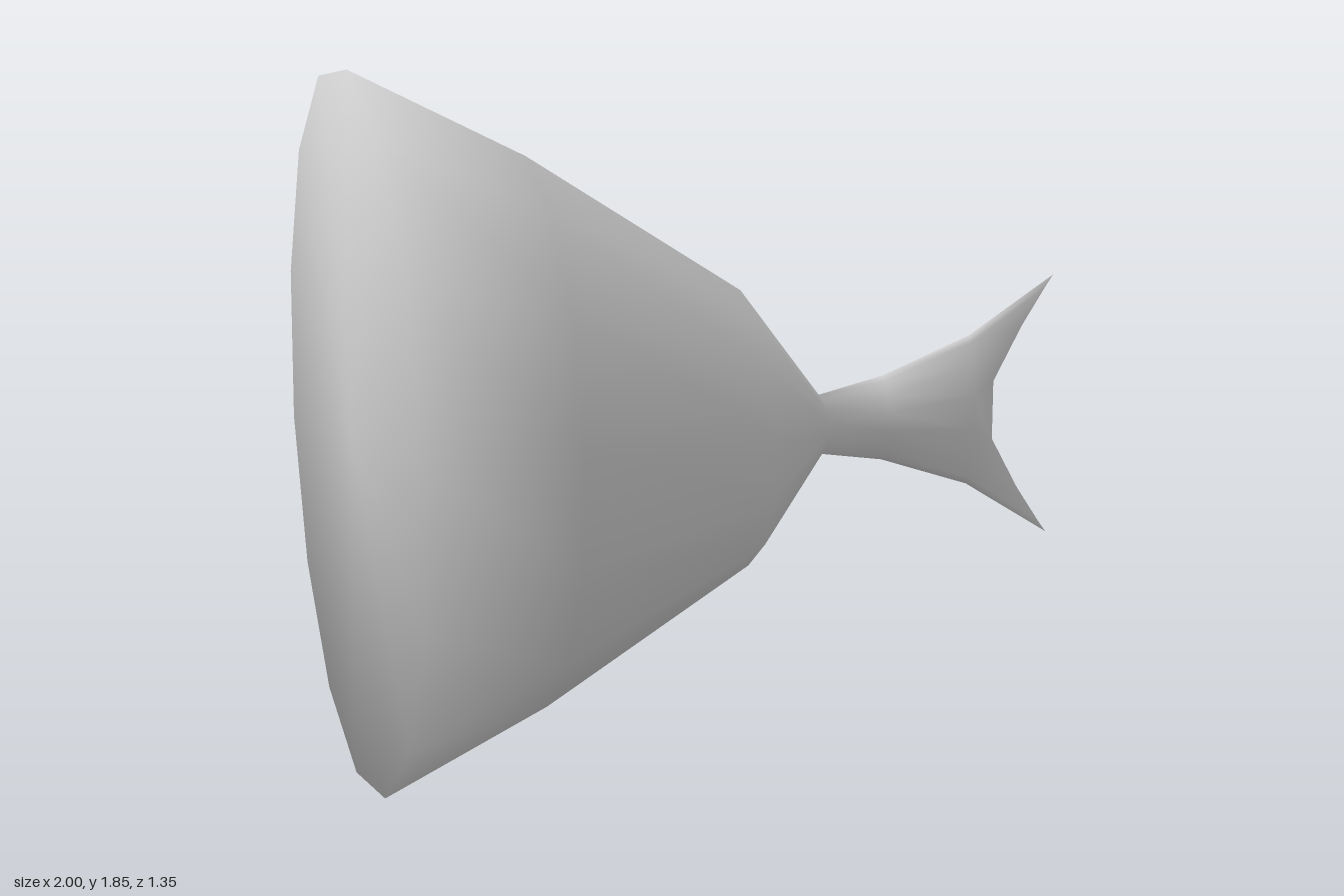
import * as THREE from 'three';

const SIDES = 14;

// Cross-sections from the wide front end to the forked fin:
// x, centre y, half height, half width, pinch (1 = ellipse, more = sharper top and bottom),
// sweep (how far top and bottom run back), phase of the first corner in degrees
const sections = [
  { x: -1.0, y: 0.927, h: 0.932, w: 0.677, pinch: 1, sweep: 0, phase: 83 },
  { x: -0.55, y: 0.895, h: 0.73, w: 0.487, pinch: 1, sweep: 0, phase: 83 },
  { x: 0.04, y: 0.857, h: 0.38, w: 0.293, pinch: 1, sweep: 0, phase: 83 },
  { x: 0.285, y: 0.84, h: 0.081, w: 0.067, pinch: 1, sweep: 0, phase: 90 },
  { x: 0.475, y: 0.842, h: 0.118, w: 0.067, pinch: 1.5, sweep: 0, phase: 90 },
  { x: 0.74, y: 0.84, h: 0.212, w: 0.043, pinch: 2, sweep: 0, phase: 90 },
  { x: 0.79, y: 0.832, h: 0.372, w: 0, pinch: 1, sweep: 0.21, phase: 90 },
];

// Point j on a cross-section
function ringPoint(s, j) {
  const a = THREE.MathUtils.degToRad(s.phase) + (j / SIDES) * Math.PI * 2;
  const c = Math.cos(a);
  const n = Math.sin(a);
  return [
    s.x + s.sweep * Math.pow(Math.abs(n), 1.3),
    s.y + s.h * n,
    s.w * Math.sign(c) * Math.pow(Math.abs(c), s.pinch),
  ];
}

function bodyGeometry() {
  const positions = [];
  const index = [];
  for (const s of sections) {
    for (let j = 0; j < SIDES; j++) positions.push(...ringPoint(s, j));
  }

  // Skin between neighbouring sections
  for (let i = 0; i < sections.length - 1; i++) {
    for (let j = 0; j < SIDES; j++) {
      const a = i * SIDES + j;
      const b = i * SIDES + ((j + 1) % SIDES);
      index.push(a, a + SIDES, b, b, a + SIDES, b + SIDES);
    }
  }

  // Flat front end, sharing the rim so the shading rolls over it
  const centre = positions.length / 3;
  positions.push(sections[0].x, sections[0].y, 0);
  for (let j = 0; j < SIDES; j++) index.push(centre, j, (j + 1) % SIDES);

  const geometry = new THREE.BufferGeometry();
  geometry.setAttribute('position', new THREE.Float32BufferAttribute(positions, 3));
  geometry.setIndex(index);
  geometry.computeVertexNormals();
  return geometry;
}

export function createModel() {
  const group = new THREE.Group();
  group.name = 'fishTail';
  const material = new THREE.MeshStandardMaterial({ color: 0xcccccc, side: THREE.DoubleSide });
  const body = new THREE.Mesh(bodyGeometry(), material);
  body.name = 'bodyAndTailFin';
  group.add(body);
  return group;
}
